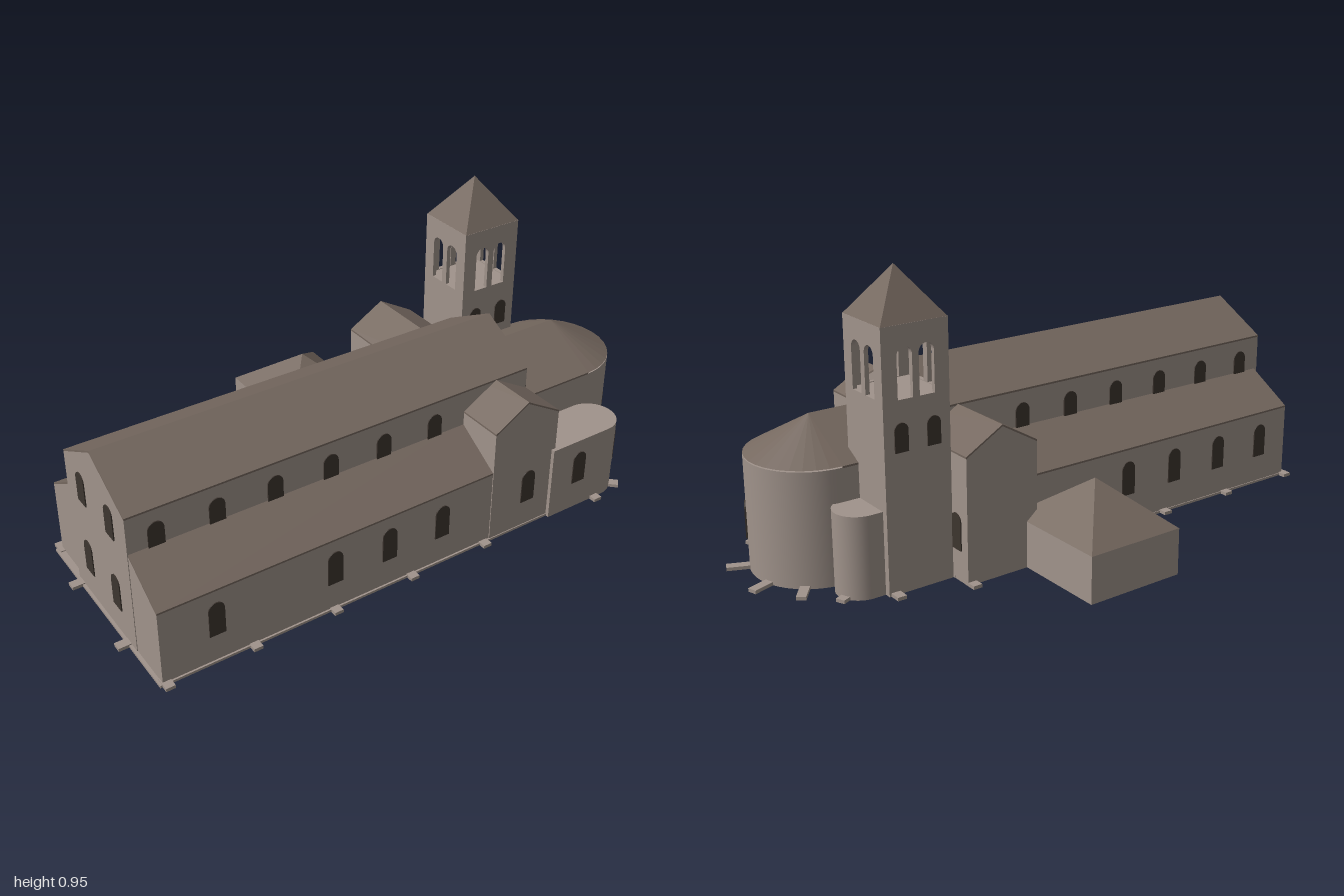
import * as THREE from 'three';

export function createModel() {
  const mat = (name, color) => {
    const m = new THREE.MeshStandardMaterial({ color });
    m.name = name;
    return m;
  };
  const stone = mat('stone', 0xa0938b);
  const tile = mat('roof tile', 0x75685f);
  const dark = mat('dark opening', 0x3d352f);

  const model = new THREE.Group();
  model.name = 'church';
  // The plan is turned slightly; x runs along the nave inside this group
  const plan = new THREE.Group();
  plan.name = 'churchPlan';
  plan.rotation.y = -0.067;
  model.add(plan);

  const add = (name, geometry, material, x = 0, y = 0, z = 0, turn = 0) => {
    const m = new THREE.Mesh(geometry, material);
    m.name = name;
    m.position.set(x, y, z);
    m.rotation.y = turn;
    plan.add(m);
    return m;
  };
  const block = (name, x0, x1, y0, y1, z0, z1, material = stone) =>
    add(name, new THREE.BoxGeometry(x1 - x0, y1 - y0, z1 - z0), material,
      (x0 + x1) / 2, (y0 + y1) / 2, (z0 + z1) / 2);
  const flat = (g) => {
    const f = g.index ? g.toNonIndexed() : g;
    f.computeVertexNormals();
    return f;
  };

  // Sweep a cross-section along x (points are z,y) or along z (points are x,y)
  const sweep = (points, axis, from, to) => {
    const s = axis === 'x' ? -1 : 1;
    const shape = new THREE.Shape(points.map(([a, y]) => new THREE.Vector2(a * s, y)));
    const g = new THREE.ExtrudeGeometry(shape, { depth: to - from, bevelEnabled: false });
    if (axis === 'x') return g.rotateY(Math.PI / 2).translate(from, 0, 0);
    return g.translate(0, 0, from);
  };
  // Walls under a thin roof that follows the top line of the section
  const hall = (name, axis, top, from, to) => {
    const under = top.map(([a, y]) => [a, y - 0.006]);
    const body = [[top[0][0], 0], ...under, [top[top.length - 1][0], 0]];
    add(name + 'Walls', sweep(body, axis, from, to), stone);
    add(name + 'Roof', sweep([...top, ...under.reverse()], axis, from, to), tile);
  };

  // Nave, aisles, transept and choir
  hall('nave', 'x', [[-0.047, 0.48], [0.15, 0.587], [0.349, 0.48]], -0.938, 0.473);
  hall('southAisle', 'x', [[0.34, 0.362], [0.504, 0.26]], -0.936, 0.23);
  hall('northAisle', 'x', [[-0.207, 0.26], [-0.04, 0.362]], -0.925, 0.24);
  hall('transept', 'z', [[0.223, 0.405], [0.347, 0.478], [0.475, 0.405]], -0.28, 0.507);
  hall('choir', 'x', [[-0.05, 0.37], [0.15, 0.478], [0.35, 0.37]], 0.46, 0.748);

  // Rounded apse with half-cone roof
  add('apseWall', new THREE.CylinderGeometry(0.2, 0.2, 0.366, 32, 1, false, 0, Math.PI),
    stone, 0.748, 0.183, 0.15);
  add('apseRoof', flat(new THREE.ConeGeometry(0.2, 0.108, 16, 1, true, 0, Math.PI)),
    tile, 0.748, 0.424, 0.15);

  // Flat-topped side chapels ending in half cylinders
  [['south', 0.693, 0.436, 0.084], ['north', 0.735, -0.105, 0.077]].forEach(([side, x, z, r]) => {
    block(side + 'ChapelWalls', 0.46, x, 0, 0.26, z - r, z + r);
    add(side + 'ChapelEnd', new THREE.CylinderGeometry(r, r, 0.26, 24, 1, false, 0, Math.PI),
      stone, x, 0.13, z);
  });

  // Four-sided hipped roofs
  const pyramid = (name, x, y, z, w, h, d) => {
    const g = new THREE.ConeGeometry(Math.SQRT1_2, 1, 4).rotateY(Math.PI / 4);
    add(name, flat(g.scale(w, h, d)), tile, x, y + h / 2, z);
  };

  // North annex
  block('annexWalls', -0.072, 0.261, 0, 0.15, -0.59, -0.204);
  pyramid('annexRoof', 0.0945, 0.15, -0.397, 0.333, 0.14, 0.386);

  // Arched outline, used for both windows and holes
  const arch = (path, cx, y0, w, h) => {
    const r = w / 2;
    path.moveTo(cx - r, y0);
    path.lineTo(cx + r, y0);
    path.lineTo(cx + r, y0 + h - r);
    path.absarc(cx, y0 + h - r, r, 0, Math.PI, false);
    path.lineTo(cx - r, y0);
    return path;
  };

  // Bell tower: solid shaft, open belfry, pyramid roof
  const tx = 0.587, tz = -0.098, tw = 0.22, td = 0.21;
  block('towerShaft', tx - tw / 2, tx + tw / 2, 0, 0.588, tz - td / 2, tz + td / 2);
  for (let i = 0; i < 4; i++) {
    const width = i % 2 ? td : tw, out = (i % 2 ? tw : td) / 2, t = 0.014;
    const wall = new THREE.Shape([[-1, 0.588], [1, 0.588], [1, 0.806], [-1, 0.806]]
      .map(([a, y]) => new THREE.Vector2(a * width / 2, y)));
    [-0.036, 0.036].forEach((c) => wall.holes.push(arch(new THREE.Path(), c, 0.59, 0.05, 0.152)));
    const g = new THREE.ExtrudeGeometry(wall, { depth: t, bevelEnabled: false, curveSegments: 10 });
    add('belfryWall', g.translate(0, 0, out - t), stone, tx, 0, tz, i * Math.PI / 2);
  }
  pyramid('towerRoof', tx, 0.805, tz, tw, 0.148, td);

  // Windows: thin arched plates; turn 0 faces +z
  const windowAt = (x, z, y0, turn, w = 0.052, h = 0.115) => {
    const g = new THREE.ExtrudeGeometry(arch(new THREE.Shape(), 0, y0, w, h),
      { depth: 0.007, bevelEnabled: false, curveSegments: 6 });
    add('window', g.translate(0, 0, -0.0035), dark, x, 0, z, turn);
  };
  const E = Math.PI / 2, N = Math.PI, W = -Math.PI / 2;
  [-0.757, -0.362, -0.167, 0.03].forEach((x) => windowAt(x, 0.504, 0.1, 0));
  [-0.8, -0.6, -0.4, -0.2].forEach((x) => windowAt(x, -0.207, 0.1, N));
  for (let i = 0; i < 6; i++) {
    const x = -0.848 + i * 0.191;
    windowAt(x, 0.349, 0.335, 0, 0.052, 0.1);
    windowAt(x, -0.047, 0.335, N, 0.052, 0.1);
  }
  windowAt(0.369, 0.507, 0.1, 0);
  windowAt(0.575, 0.52, 0.1, 0);
  windowAt(0.475, -0.222, 0.1, E);
  windowAt(0.473, 0.321, 0.335, E, 0.05, 0.1);
  [0.06, 0.245].forEach((z) => {
    windowAt(-0.938, z, 0.1, W);
    windowAt(-0.938, z, 0.355, W, 0.052, 0.105);
  });
  [-0.054, 0.054].forEach((dx) => {
    windowAt(tx + dx, tz + td / 2, 0.435, 0, 0.045, 0.088);
    windowAt(tx + dx, tz - td / 2, 0.435, N, 0.045, 0.088);
  });
  // Windows on the curved walls, by angle from the east towards the south
  const roundWindow = (cx, cz, r, degrees, w) => {
    const a = degrees * Math.PI / 180;
    windowAt(cx + r * Math.cos(a), cz + r * Math.sin(a), 0.097, E - a, w);
  };
  roundWindow(0.748, 0.15, 0.2, 28, 0.052);
  roundWindow(0.748, 0.15, 0.2, 80, 0.052);
  roundWindow(0.693, 0.436, 0.084, 25, 0.026);

  // Low plinth and the stubs around its edge
  block('plinth', -0.947, 0.476, 0, 0.008, -0.21, 0.51);
  const stub = (x, z, degrees, length = 0.05) =>
    add('plinthStub', new THREE.BoxGeometry(length, 0.011, 0.03), stone,
      x, 0.0055, z, -degrees * Math.PI / 180);
  [-0.925, -0.643, -0.366, -0.086, 0.198].forEach((x) => stub(x, 0.507, 90));
  stub(0.657, 0.52, 90);
  [[-0.925, -0.21], [-0.637, -0.21], [-0.356, -0.21], [0.461, -0.285], [0.676, -0.215]]
    .forEach(([x, z]) => stub(x, z, -90));
  [-0.02, 0.3].forEach((z) => stub(-0.955, z, 180));
  [-53, -19, 23, 66].forEach((d) => {
    const a = d * Math.PI / 180;
    stub(0.748 + 0.23 * Math.cos(a), 0.15 + 0.23 * Math.sin(a), d, 0.08);
  });
  stub(0.757, 0.5, 45);
  stub(0.806, -0.138, -25);

  return model;
}
